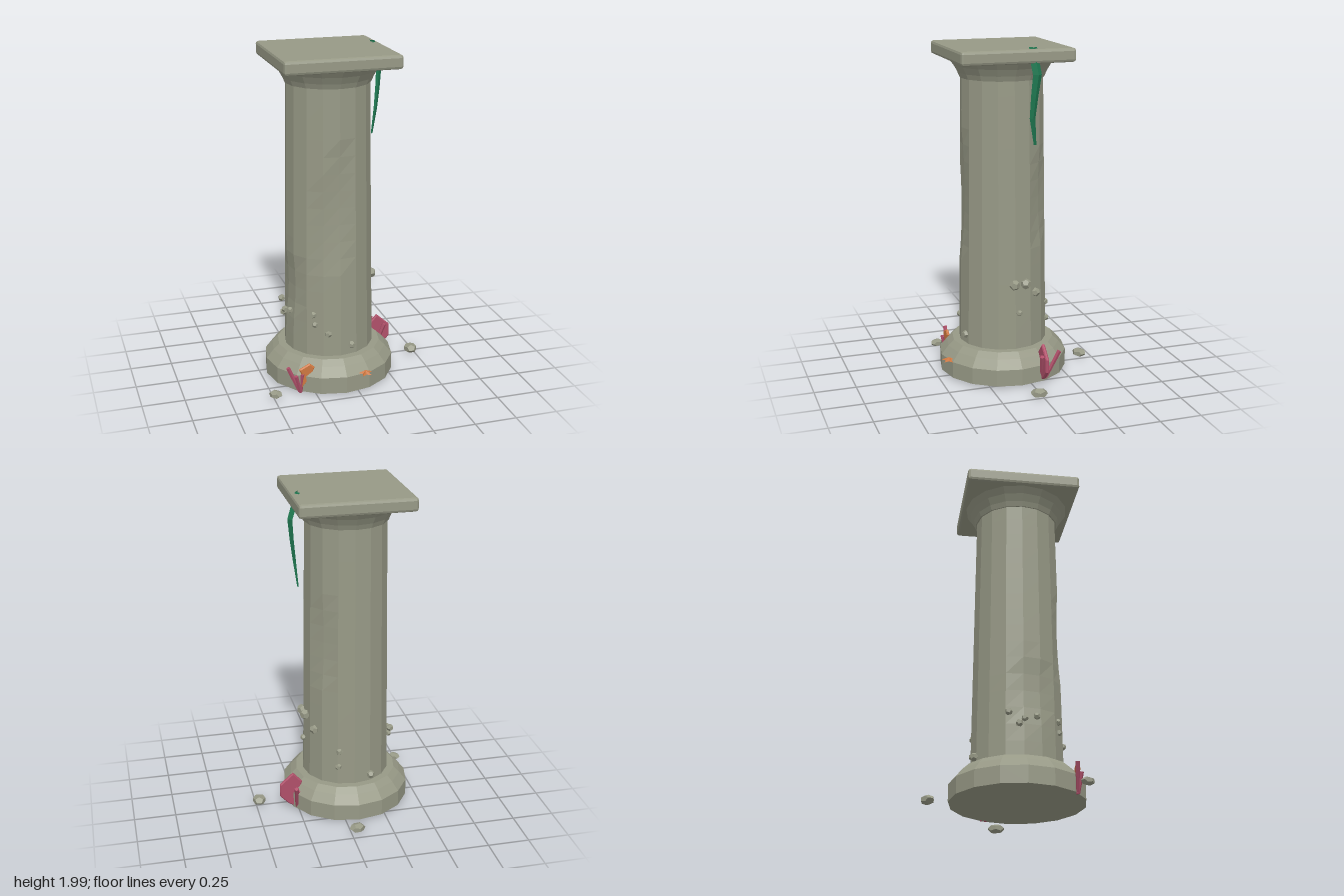
import * as THREE from 'three';
import { RoundedBoxGeometry } from 'three/addons/geometries/RoundedBoxGeometry.js';

const CX = -0.078, CZ = 0.067; // column axis

export function createModel() {
  const root = new THREE.Group();
  root.name = 'sunkenColumn';
  const mat = (name, color, extra = {}) => {
    const m = new THREE.MeshStandardMaterial({ color, ...extra });
    m.name = name;
    return m;
  };
  const stone = mat('stone', 0x979986);
  const pink = mat('coralPink', 0xb0506a);
  const orange = mat('coralOrange', 0xcf7840);
  const green = mat('seaweedGreen', 0x1f7a52, { side: THREE.DoubleSide });

  // Adds a faceted mesh
  const add = (name, geo, material, x = 0, y = 0, z = 0) => {
    const g = geo.index ? geo.toNonIndexed() : geo;
    g.computeVertexNormals();
    const mesh = new THREE.Mesh(g, material);
    mesh.name = name;
    mesh.position.set(x, y, z);
    root.add(mesh);
    return mesh;
  };
  const lathe = (pts) => new THREE.LatheGeometry(pts.map((p) => new THREE.Vector2(...p)), 16);

  // Base drum with sloping shoulder
  add('base', lathe([[0, 0.02], [0.388, 0.02], [0.388, 0.12], [0.345, 0.172], [0.31, 0.205], [0, 0.205]]), stone, CX, 0, CZ);

  // Sixteen-sided tapering shaft with worn patches: [angle, height, angular reach, height reach, depth]
  const shaft = new THREE.CylinderGeometry(0.243, 0.266, 1.62, 16, 16, true);
  shaft.translate(0, 1.01, 0);
  const dents = [[0, 1.12, 0.35, 0.4, 0.022], [-0.42, 1.0, 0.3, 0.3, 0.012], [-1.4, 0.6, 0.4, 0.25, 0.02], [2.4, 1.1, 0.35, 0.3, 0.015]];
  const pos = shaft.attributes.position;
  for (let i = 0; i < pos.count; i++) {
    const x = pos.getX(i), y = pos.getY(i), z = pos.getZ(i);
    const a = Math.atan2(x, z);
    let k = 1;
    for (const [da, dy, ra, ry, depth] of dents) {
      const d = Math.hypot((a - da) / ra, (y - dy) / ry);
      if (d < 1) k -= (depth / 0.25) * (1 - d * d);
    }
    pos.setXYZ(i, x * k, y, z * k);
  }
  add('shaft', shaft, stone, CX, 0, CZ);

  // Flaring capital and square slab
  add('capital', lathe([[0, 1.805], [0.25, 1.805], [0.262, 1.835], [0.285, 1.875], [0.315, 1.915], [0, 1.915]]), stone, CX, 0, CZ);
  add('slab', new RoundedBoxGeometry(0.676, 0.08, 0.676, 1, 0.016), stone, CX, 1.951, CZ);

  // Loose rocks
  [[-0.04, -0.43, 0.049, 0.3], [0.478, 0.022, 0.051, 1.4], [-0.49, 0.38, 0.043, 2.2]].forEach(([x, z, r, turn], i) => {
    const rock = add('rock' + (i + 1), new THREE.DodecahedronGeometry(r), stone, x, 0.036, z);
    rock.scale.set(1, 0.55, 0.82);
    rock.rotation.y = turn;
  });

  // Barnacles: x, y, z, radius
  const barnacles = [
    [-0.23, 0.46, 0.275, 0.021], [-0.22, 0.4, 0.28, 0.02], [-0.15, 0.345, 0.315, 0.021], [-0.008, 0.26, 0.32, 0.024],
    [-0.345, 0.465, -0.02, 0.022], [-0.35, 0.4, 0.04, 0.022], [-0.335, 0.45, 0.14, 0.02], [-0.35, 0.43, 0.07, 0.02],
    [0.19, 0.605, 0.075, 0.032], [0.185, 0.605, 0.003, 0.032], [0.145, 0.535, -0.07, 0.028], [0.19, 0.428, 0.045, 0.019],
    [0.01, 0.42, -0.175, 0.023], [0.02, 0.32, -0.18, 0.02], [-0.18, 0.25, -0.19, 0.025], [-0.35, 0.185, 0.2, 0.014],
  ];
  barnacles.forEach(([x, y, z, r], i) => {
    add('barnacle' + (i + 1), new THREE.DodecahedronGeometry(r), stone, x, y, z).rotation.y = i;
  });

  // Coral rods running between two points
  const rod = (name, from, to, r) => {
    const a = new THREE.Vector3(...from), b = new THREE.Vector3(...to);
    const d = b.clone().sub(a);
    const mesh = add(name, new THREE.CylinderGeometry(r, r * 0.75, d.length(), 5), pink);
    mesh.position.copy(a).addScaledVector(d, 0.5);
    mesh.quaternion.setFromUnitVectors(new THREE.Vector3(0, 1, 0), d.normalize());
  };
  rod('rightCoralRod1', [0.26, 0.02, -0.09], [0.277, 0.195, -0.175], 0.014);
  rod('rightCoralRod2', [0.265, 0.02, -0.07], [0.325, 0.19, -0.05], 0.014);
  rod('rightCoralRod3', [0.26, 0.02, -0.07], [0.25, 0.14, -0.105], 0.012);
  rod('leftCoralRod1', [-0.34, 0.02, 0.355], [-0.405, 0.175, 0.345], 0.013);
  rod('leftCoralRod2', [-0.335, 0.015, 0.36], [-0.365, 0.13, 0.375], 0.012);
  rod('leftCoralRod3', [-0.33, 0.015, 0.355], [-0.325, 0.135, 0.37], 0.012);

  // Flat coral fans
  const fan = (name, pts, depth, z, material) => {
    const shape = new THREE.Shape(pts.map((p) => new THREE.Vector2(...p)));
    add(name, new THREE.ExtrudeGeometry(shape, {
      depth, bevelEnabled: true, bevelSize: 0.006, bevelThickness: 0.006, bevelSegments: 1, bevelOffset: -0.006,
    }), material, 0, 0, z);
  };
  fan('pinkFan', [[0.265, 0.02], [0.31, 0.045], [0.362, 0.1], [0.362, 0.18], [0.28, 0.252], [0.225, 0.19], [0.25, 0.11]], 0.01, -0.077, pink);
  fan('orangeFan', [[-0.33, 0.05], [-0.275, 0.11], [-0.25, 0.17], [-0.28, 0.197], [-0.345, 0.165], [-0.325, 0.125]], 0.006, 0.362, orange);

  // Starfish: shallow five-pointed pyramid, closed underneath
  const star = [];
  const rim = (i) => {
    const r = i % 2 ? 0.019 : 0.046, a = (i * Math.PI) / 5;
    return [r * Math.sin(a), 0, -r * Math.cos(a)];
  };
  for (let i = 0; i < 10; i++) {
    star.push(0, 0.02, 0, ...rim(i + 1), ...rim(i));
    star.push(0, -0.004, 0, ...rim(i), ...rim(i + 1));
  }
  const starGeo = new THREE.BufferGeometry();
  starGeo.setAttribute('position', new THREE.Float32BufferAttribute(star, 3));
  add('starfish', starGeo, orange, 0.04, 0.124, 0.442);

  // Hanging seaweed: folded strip, each section is [x of ridge, y, z, half width]
  const sections = [[0.233, 2.0, -0.025, 0.024], [0.262, 1.91, -0.03, 0.027], [0.281, 1.85, -0.036, 0.026],
    [0.268, 1.73, -0.024, 0.022], [0.25, 1.6, -0.016, 0.017], [0.23, 1.445, -0.036, 0.008]];
  const verts = [], idx = [];
  sections.forEach(([x, y, z, w], i) => {
    verts.push(x - w * 0.9, y, z + w, x, y, z, x - w * 0.9, y, z - w);
    if (i) for (let k = 0; k < 2; k++) {
      const a = (i - 1) * 3 + k, b = a + 3;
      idx.push(a, b, a + 1, b, b + 1, a + 1);
    }
  });
  const weed = new THREE.BufferGeometry();
  weed.setAttribute('position', new THREE.Float32BufferAttribute(verts, 3));
  weed.setIndex(idx);
  add('seaweed', weed, green);

  return root;
}
